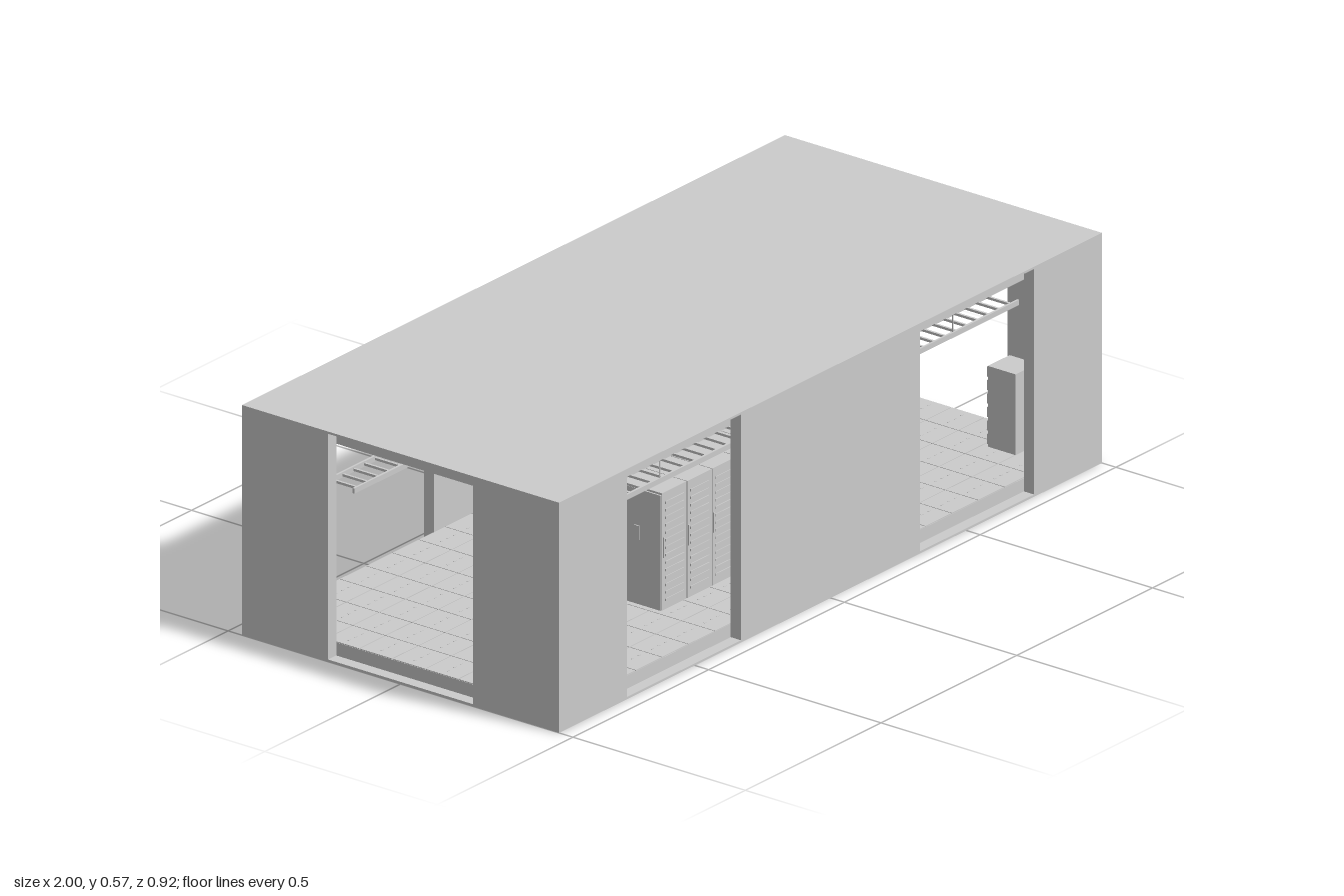
import * as THREE from 'three';
import { mergeGeometries } from 'three/addons/utils/BufferGeometryUtils.js';

const W = 1, D = 0.46, H = 0.57, T = 0.03, SKIN = 0.005;
const FLOOR = 0.04, CEIL = 0.53;
const mat = new THREE.MeshStandardMaterial({ color: 0xcccccc, flatShading: true });

// Box geometry given by its minimum and maximum corners
function span(x0, x1, y0, y1, z0, z1) {
  return new THREE.BoxGeometry(x1 - x0, y1 - y0, z1 - z0)
    .translate((x0 + x1) / 2, (y0 + y1) / 2, (z0 + z1) / 2);
}

function add(parent, name, geos) {
  const mesh = new THREE.Mesh(Array.isArray(geos) ? mergeGeometries(geos) : geos, mat);
  mesh.name = name;
  parent.add(mesh);
  return mesh;
}

// Upright wall panel with door openings, centred on its own thickness
function wall(halfWidth, openings) {
  const s = new THREE.Shape();
  s.moveTo(-halfWidth, SKIN).lineTo(halfWidth, SKIN).lineTo(halfWidth, H - SKIN).lineTo(-halfWidth, H - SKIN).closePath();
  for (const [a, b] of openings) {
    const y0 = SKIN + 0.0005, y1 = H - SKIN - 0.0005;
    const p = new THREE.Path();
    p.moveTo(a, y0).lineTo(a, y1).lineTo(b, y1).lineTo(b, y0).closePath();
    s.holes.push(p);
  }
  return new THREE.ExtrudeGeometry(s, { depth: T, bevelEnabled: false }).translate(0, 0, -T / 2);
}

function buildShell(g) {
  add(g, 'roof', span(-W, W, H - SKIN, H, -D, D));
  add(g, 'base', span(-W, W, 0, SKIN, -D, D));
  for (const s of [-1, 1]) {
    add(g, s > 0 ? 'frontWall' : 'backWall', wall(W, [[-0.75, -0.33], [0.33, 0.75]]))
      .position.z = s * (D - T / 2);
    const end = add(g, s > 0 ? 'leftWall' : 'rightWall', wall(D - T, [[-0.21, 0.21]]));
    end.rotation.y = Math.PI / 2;
    end.position.x = s * (W - T / 2);
  }
  add(g, 'raisedFloor', span(T - W, W - T, SKIN, FLOOR - 0.002, T - D, D - T));
  add(g, 'ceiling', span(T - W, W - T, CEIL, H - SKIN, T - D, D - T));
}

function buildFloorTiles(g) {
  const tiles = [], studs = [];
  const nx = 20, nz = 9, sx = 2 * (W - T) / nx, sz = 2 * (D - T) / nz;
  for (let i = 0; i < nx; i++) for (let j = 0; j < nz; j++) {
    const x = T - W + i * sx, z = T - D + j * sz;
    tiles.push(span(x + 0.001, x + sx - 0.001, FLOOR - 0.002, FLOOR, z + 0.001, z + sz - 0.001));
    for (let k = 1; k < 4; k++) {
      const cx = x + sx * k / 4, cz = z + sz / 2;
      studs.push(span(cx - 0.004, cx + 0.004, FLOOR, FLOOR + 0.001, cz - 0.0015, cz + 0.0015));
    }
  }
  add(g, 'floorTiles', tiles);
  add(g, 'floorStuds', studs);
}

// A row of equipment racks with slotted doors towards the aisles
function buildRacks(g, side) {
  const row = new THREE.Group();
  row.name = side > 0 ? 'frontRackRow' : 'backRackRow';
  const n = 8, w = 0.74 / n, slots = [];
  for (let i = 0; i < n; i++) {
    const x = -0.37 + i * w;
    add(row, 'rack', span(x + 0.001, x + w - 0.001, FLOOR, 0.33, 0.127, 0.262));
    for (const z of [0.126, 0.263]) {
      for (let k = 0; k < 14; k++) {
        const y = 0.06 + k * 0.0185;
        slots.push(span(x + 0.012, x + w - 0.012, y, y + 0.006, z - 0.001, z + 0.001));
      }
      slots.push(span(x + 0.004, x + 0.008, 0.17, 0.22, z - 0.002, z + 0.002));
    }
  }
  add(row, 'doorSlots', slots);
  for (const s of [-1, 1]) {
    const x = s * 0.371;
    add(row, 'rackEndPanel', span(x - 0.002, x + 0.002, FLOOR, 0.325, 0.13, 0.26));
    add(row, 'endHandle', span(x - 0.005, x + 0.005, 0.2, 0.235, 0.185, 0.2));
  }
  if (side < 0) row.rotation.y = Math.PI;
  g.add(row);
}

// Cable ladder hung from the ceiling on thin rods
function buildLadder(g, side) {
  const tray = new THREE.Group();
  tray.name = 'cableLadder';
  const z0 = 0.215, z1 = 0.295, L = 0.9, rungs = [], rods = [];
  for (const z of [z0, z1]) {
    add(tray, 'ladderRail', span(-L, L, 0.382, 0.395, z - 0.003, z + 0.003));
    for (const x of [-0.66, -0.42, -0.14, 0.14, 0.42, 0.66])
      rods.push(new THREE.CylinderGeometry(0.002, 0.002, CEIL - 0.39, 6).translate(x, (CEIL + 0.39) / 2, z));
  }
  for (let x = -L + 0.02; x < L; x += 0.04)
    rungs.push(span(x - 0.003, x + 0.003, 0.385, 0.391, z0, z1));
  add(tray, 'ladderRungs', rungs);
  add(tray, 'hangerRods', rods);
  if (side < 0) tray.rotation.y = Math.PI;
  g.add(tray);
}

function buildCeilingFittings(g) {
  // Round ceiling units
  for (const x of [-0.54, 0.54])
    add(g, 'roundCeilingUnit', new THREE.CylinderGeometry(0.107, 0.1, 0.022, 28))
      .position.set(x, CEIL - 0.011, 0.135);
  // Small tapered detectors
  for (const x of [-0.54, 0, 0.54])
    add(g, 'detector', new THREE.CylinderGeometry(0.03, 0.018, 0.009, 16)).position.set(x, CEIL - 0.0045, 0);
  // Framed light panels
  for (const x of [-0.86, -0.545, -0.26, 0.26, 0.545, 0.86]) for (const z of [-0.31, 0.31]) {
    const lamp = new THREE.Group();
    lamp.name = 'lightPanel';
    add(lamp, 'lightFrame', [
      span(-0.028, 0.028, -0.004, 0, -0.06, -0.053), span(-0.028, 0.028, -0.004, 0, 0.053, 0.06),
      span(-0.028, -0.021, -0.004, 0, -0.053, 0.053), span(0.021, 0.028, -0.004, 0, -0.053, 0.053)]);
    add(lamp, 'lightPlate', span(-0.021, 0.021, -0.001, 0, -0.053, 0.053));
    lamp.position.set(x, CEIL, z);
    g.add(lamp);
  }
}

function buildCornerItems(g) {
  // Drawer cabinets in the front corners
  for (const [x, h] of [[-0.86, 0.13], [0.88, 0.2]]) {
    const cab = new THREE.Group();
    cab.name = 'drawerCabinet';
    add(cab, 'cabinetBody', span(-0.04, 0.04, 0, h, -0.04, 0.04));
    const n = Math.round(h / 0.033);
    for (let i = 0; i < n; i++) {
      const y = i * h / n;
      add(cab, 'drawer', span(-0.036, 0.036, y + 0.004, y + h / n - 0.004, -0.046, -0.04));
      add(cab, 'drawerPull', span(-0.012, 0.012, y + h / n * 0.55, y + h / n * 0.7, -0.05, -0.046));
    }
    cab.position.set(x, FLOOR, 0.295);
    g.add(cab);
  }
  // Round pedestal stand in the back corner
  const profile = [[0, 0], [0.035, 0], [0.035, 0.008], [0.01, 0.014], [0.01, 0.08], [0.035, 0.085],
    [0.035, 0.105], [0.012, 0.11], [0.012, 0.16], [0.02, 0.165], [0.02, 0.18], [0, 0.18]]
    .map(([r, y]) => new THREE.Vector2(r, y));
  add(g, 'pedestalStand', new THREE.LatheGeometry(profile, 16)).position.set(0.88, FLOOR, -0.285);
}

export function createModel() {
  const g = new THREE.Group();
  g.name = 'equipmentRoom';
  buildShell(g);
  buildFloorTiles(g);
  for (const side of [1, -1]) {
    buildRacks(g, side);
    buildLadder(g, side);
  }
  buildCeilingFittings(g);
  buildCornerItems(g);
  return g;
}
